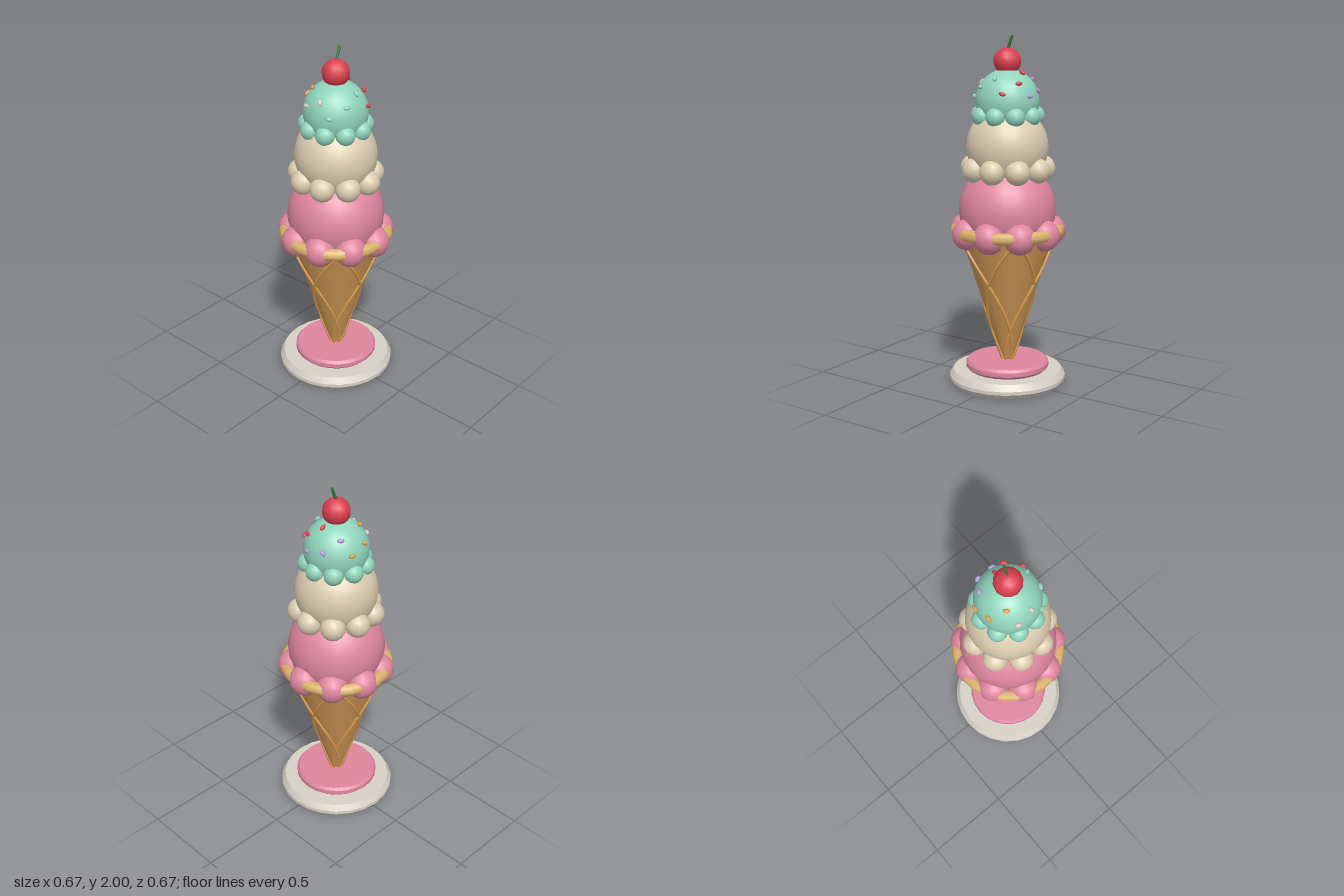
import * as THREE from 'three';
import { toCreasedNormals } from 'three/addons/utils/BufferGeometryUtils.js';

const paint = (name, color) => {
  const m = new THREE.MeshStandardMaterial({ color });
  m.name = name;
  return m;
};

export function createModel() {
  const model = new THREE.Group();
  model.name = 'iceCreamCone';
  const mat = {
    plate: paint('stone white', 0xd6d0c6),
    pink: paint('strawberry pink', 0xdf869f),
    cream: paint('vanilla cream', 0xdccdb0),
    mint: paint('mint green', 0x90d4bc),
    cone: paint('waffle brown', 0xcf9856),
    rim: paint('waffle gold', 0xdcb26c),
    caramel: paint('caramel', 0xdc9f50),
    red: paint('cherry red', 0xdb3f4e),
    green: paint('stem green', 0x2f7d3b),
    purple: paint('lilac', 0xb59be0),
  };
  const add = (name, geometry, material, parent = model) => {
    const mesh = new THREE.Mesh(geometry, material);
    mesh.name = name;
    parent.add(mesh);
    return mesh;
  };
  const group = (name) => {
    const g = new THREE.Group();
    g.name = name;
    model.add(g);
    return g;
  };
  const lathe = (points) => toCreasedNormals(
    new THREE.LatheGeometry(points.map(([r, y]) => new THREE.Vector2(r, y)), 24), 0.45);

  // Bevelled stand with a smaller disc on top
  add('standPlate', lathe([[0, 0], [0.31, 0], [0.337, 0.03], [0.337, 0.05], [0.315, 0.085], [0, 0.085]]), mat.plate);
  add('standDisc', lathe([[0, 0.085], [0.225, 0.085], [0.24, 0.1], [0.24, 0.125], [0.228, 0.14], [0, 0.14]]), mat.pink);

  // Waffle cone
  const y0 = 0.13, y1 = 0.89, r0 = 0.028, r1 = 0.272;
  const cone = add('cone', new THREE.CylinderGeometry(r1, r0, y1 - y0, 24), mat.cone);
  cone.position.y = (y0 + y1) / 2;

  // Ribs winding around the cone in both directions
  const ribs = group('coneRibs');
  for (const dir of [-1, 1]) {
    for (let k = 0; k < 4; k++) {
      const pts = [];
      for (let i = 0; i <= 16; i++) {
        const t = i / 16;
        const a = Math.PI / 4 + k * Math.PI / 2 + dir * (1 - t) * 2.1;
        const r = r0 + (r1 - r0) * t + 0.002;
        pts.push(new THREE.Vector3(r * Math.cos(a), y0 + (y1 - y0) * t, r * Math.sin(a)));
      }
      add('rib', new THREE.TubeGeometry(new THREE.CatmullRomCurve3(pts), 40, 0.009, 6), mat.caramel, ribs);
    }
  }

  // Rolled rim
  const rim = add('coneRim', new THREE.TorusGeometry(0.292, 0.035, 8, 24), mat.rim);
  rim.rotation.x = Math.PI / 2;
  rim.position.y = 0.905;

  // Scoops, each with a ruffle of nine beads: [name, material, r, y, ruffle r, ruffle y, bead r]
  const scoops = [
    ['bottomScoop', mat.pink, 0.276, 1.02, 0.247, 0.897, 0.09],
    ['middleScoop', mat.cream, 0.232, 1.38, 0.203, 1.257, 0.071],
    ['topScoop', mat.mint, 0.18, 1.635, 0.157, 1.555, 0.055],
  ];
  for (const [name, material, r, y, ringR, ringY, beadR] of scoops) {
    add(name, new THREE.SphereGeometry(r, 24, 18), material).position.y = y;
    const ruffle = group(name + 'Ruffle');
    const bead = new THREE.SphereGeometry(beadR, 14, 10);
    for (let k = 0; k < 9; k++) {
      const a = k * Math.PI * 2 / 9;
      add('bead', bead, material, ruffle).position.set(ringR * Math.cos(a), ringY, ringR * Math.sin(a));
    }
  }

  // Sprinkles lying on the top scoop: [x, z, heading in degrees, material]
  const sprinkles = [
    [-0.045, -0.165, 50, mat.caramel], [0.055, -0.173, -5, mat.caramel], [-0.09, -0.085, -45, mat.caramel],
    [0.085, -0.118, 35, mat.purple], [0.165, -0.064, -40, mat.purple], [0.178, 0.04, 75, mat.purple],
    [0.1, 0, 0, mat.red], [0.132, 0.083, -60, mat.red], [0.077, 0.162, 30, mat.red],
    [0.01, 0.135, 80, mat.mint], [-0.08, 0.148, 25, mat.mint], [-0.16, 0.09, -55, mat.mint],
    [-0.155, 0.025, -20, mat.plate], [-0.162, -0.068, 100, mat.plate],
  ];
  const sprinkleGroup = group('sprinkles');
  const grain = new THREE.SphereGeometry(1, 8, 6);
  grain.scale(0.021, 0.012, 0.012);
  for (const [x, z, deg, material] of sprinkles) {
    const y = Math.sqrt(Math.max(0.0342 - x * x - z * z, 0));
    const normal = new THREE.Vector3(x, y, z).normalize();
    const a = THREE.MathUtils.degToRad(deg);
    const along = new THREE.Vector3(Math.cos(a), 0, Math.sin(a)).projectOnPlane(normal).normalize();
    const side = new THREE.Vector3().crossVectors(along, normal);
    const mesh = add('sprinkle', grain, material, sprinkleGroup);
    mesh.quaternion.setFromRotationMatrix(new THREE.Matrix4().makeBasis(along, normal, side));
    mesh.position.set(x, 1.64 + y, z);
  }

  // Cherry and its leaning stem
  add('cherry', new THREE.SphereGeometry(0.077, 12, 10), mat.red).position.y = 1.855;
  const stem = new THREE.LineCurve3(new THREE.Vector3(0, 1.91, 0), new THREE.Vector3(0.032, 1.997, 0));
  add('cherryStem', new THREE.TubeGeometry(stem, 1, 0.008, 6), mat.green);
  const tip = add('stemTip', new THREE.CircleGeometry(0.008, 6), mat.green);
  tip.position.set(0.032, 1.997, 0);
  tip.lookAt(0.064, 2.084, 0);

  return model;
}
